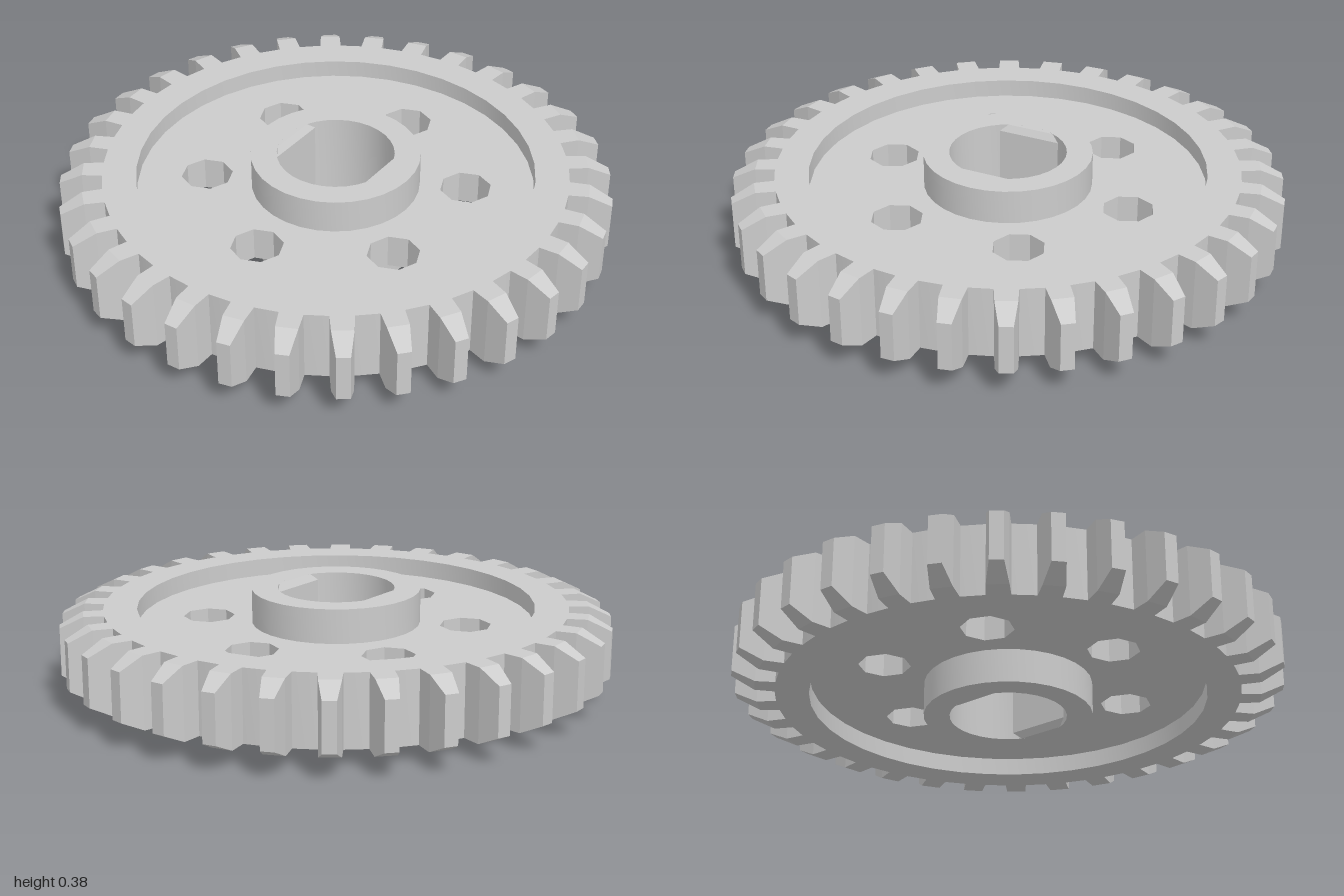
import * as THREE from 'three';
import { toCreasedNormals } from 'three/addons/utils/BufferGeometryUtils.js';
import { ConvexGeometry } from 'three/addons/geometries/ConvexGeometry.js';

const TEETH = 32, PITCH = (2 * Math.PI) / TEETH;
const MID = 0.188;                  // height of the gear's mid plane
const HUB = 0.188, RIM = 0.13, WEB = 0.063; // half thicknesses
const ROOT = 0.843, POCKET = 0.722, HUB_R = 0.307, BORE = 0.213, FLAT = 0.177;

const material = new THREE.MeshStandardMaterial({ color: 0xcccccc });

function circle(r, n, cx = 0, cy = 0) {
  return Array.from({ length: n }, (_, i) => {
    const a = (i / n) * 2 * Math.PI;
    return new THREE.Vector2(cx + r * Math.cos(a), cy + r * Math.sin(a));
  });
}

// Flat plate with holes, lying level and centred on y = 0
function plate(outline, holes, half) {
  const shape = new THREE.Shape(outline);
  holes.forEach(h => shape.holes.push(new THREE.Path(h)));
  const geo = new THREE.ExtrudeGeometry(shape, { depth: half * 2, bevelEnabled: false });
  geo.translate(0, 0, -half);
  geo.rotateX(-Math.PI / 2);
  return toCreasedNormals(geo, 0.5);
}

function add(group, name, geo) {
  const mesh = new THREE.Mesh(geo, material);
  mesh.name = name;
  group.add(mesh);
  return mesh;
}

// One tapered tooth pointing along +x, with its tip chamfered above and below
function toothGeometry() {
  const pts = [];
  const sections = [[ROOT, 0.041, RIM], [0.915, 0.038, RIM], [1.0, 0.024, 0.088]];
  for (const [r, w, h] of sections)
    for (const sy of [-1, 1])
      for (const sz of [-1, 1]) pts.push(new THREE.Vector3(r, sy * h, sz * w));
  return new ConvexGeometry(pts);
}

// Segment that fills one side of the bore, sloped at both ends
function flatGeometry() {
  const pts = [], half = Math.acos(FLAT / BORE), n = 8;
  for (let i = 0; i <= n; i++) {
    const a = -half + (2 * half * i) / n;
    const h = i === 0 || i === n ? HUB - 0.025 : HUB;
    for (const s of [-1, 1])
      pts.push(new THREE.Vector3(BORE * Math.sin(a), s * h, BORE * Math.cos(a)));
  }
  return new ConvexGeometry(pts);
}

export function createModel() {
  const gear = new THREE.Group();
  gear.name = 'gear';
  gear.position.y = MID;

  // Rim, its outline meeting the foot of every tooth
  const foot = Math.atan(0.041 / ROOT), rootR = Math.hypot(ROOT, 0.041);
  const outline = [];
  for (let i = 0; i < TEETH; i++)
    for (const s of [-1, 1]) {
      const a = (i + 0.25) * PITCH + s * foot;
      outline.push(new THREE.Vector2(rootR * Math.cos(a), rootR * Math.sin(a)));
    }
  add(gear, 'rim', plate(outline, [circle(POCKET, 40)], RIM));

  // Teeth
  const teeth = new THREE.Group();
  teeth.name = 'teeth';
  const tooth = toothGeometry();
  for (let i = 0; i < TEETH; i++)
    add(teeth, 'tooth', tooth).rotation.y = (i + 0.25) * PITCH;
  gear.add(teeth);

  // Thin web with six lightening holes
  const holes = [circle(HUB_R, 32)];
  for (let i = 0; i < 6; i++) {
    const a = (i * Math.PI) / 3;
    holes.push(circle(0.094, 8, 0.473 * Math.cos(a), 0.473 * Math.sin(a)));
  }
  add(gear, 'web', plate(circle(POCKET, 40), holes, WEB));

  // Hub and the two flats in its bore
  add(gear, 'hub', plate(circle(HUB_R, 32), [circle(BORE, 32)], HUB));
  const flat = flatGeometry();
  for (const turn of [0, Math.PI]) add(gear, 'boreFlat', flat).rotation.y = turn;

  const model = new THREE.Group();
  model.add(gear);
  return model;
}
